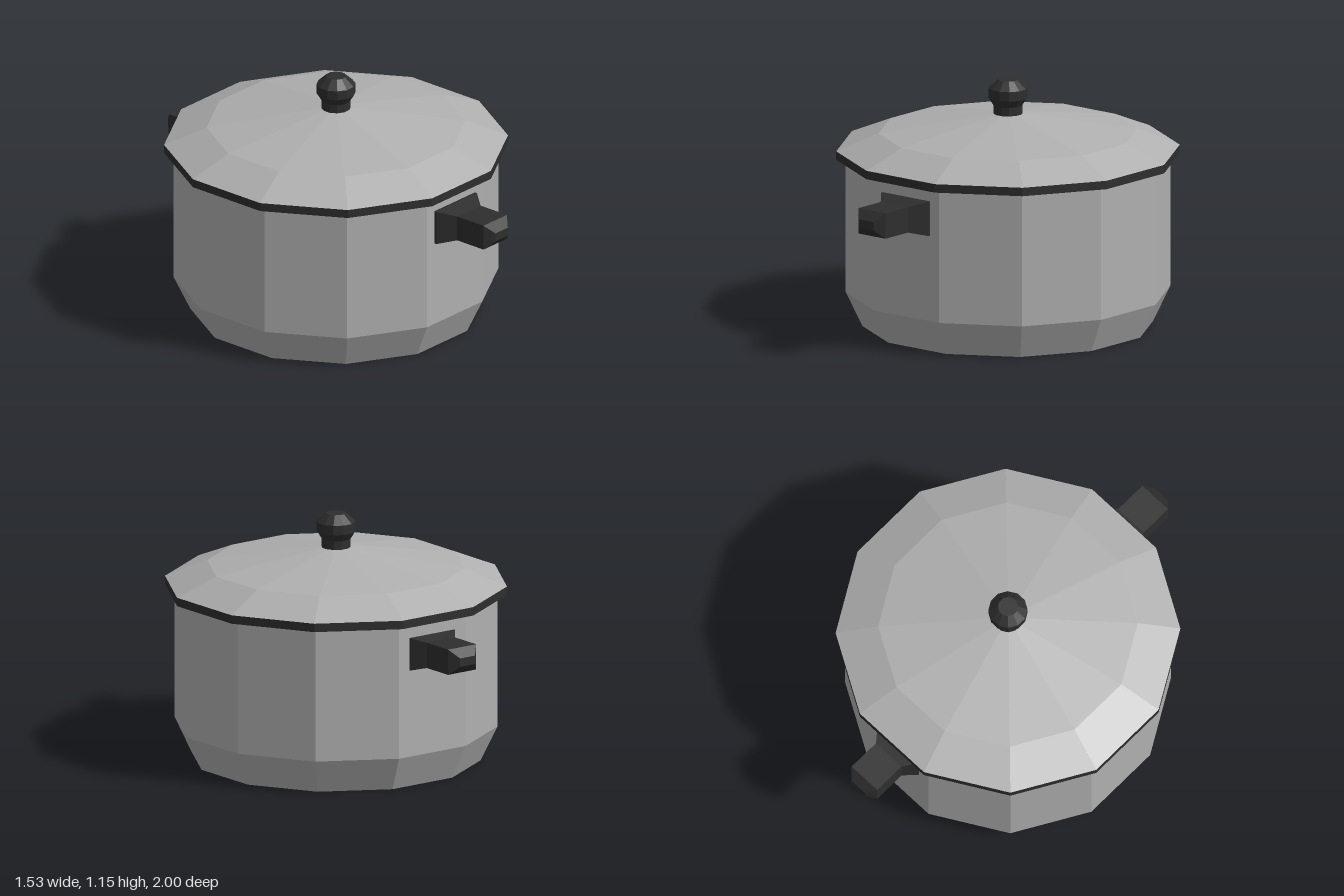
import * as THREE from 'three';

const SIDES = 12;
const CENTER_Z = -0.012;

// Faceted solid of revolution, profile given bottom to top as [radius, y]
function turned(name, profile, material) {
  const points = profile.map(([r, y]) => new THREE.Vector2(r, y));
  const mesh = new THREE.Mesh(new THREE.LatheGeometry(points, SIDES, Math.PI / 12), material);
  mesh.name = name;
  mesh.position.z = CENTER_Z;
  return mesh;
}

// Loft through rectangles [z, halfWidth, halfHeight] along +z, closed at both ends
function loftRectangles(sections) {
  const positions = [];
  const index = [];
  for (const [z, w, h] of sections) {
    positions.push(-w, -h, z, w, -h, z, w, h, z, -w, h, z);
  }
  for (let s = 0; s < sections.length - 1; s++) {
    for (let i = 0; i < 4; i++) {
      const a = s * 4 + i;
      const b = s * 4 + ((i + 1) % 4);
      index.push(a, b, b + 4, a, b + 4, a + 4);
    }
  }
  const e = (sections.length - 1) * 4;
  index.push(0, 2, 1, 0, 3, 2, e, e + 1, e + 2, e, e + 2, e + 3);
  const geometry = new THREE.BufferGeometry();
  geometry.setAttribute('position', new THREE.Float32BufferAttribute(positions, 3));
  geometry.setIndex(index);
  geometry.computeVertexNormals();
  return geometry;
}

export function createModel() {
  const metal = new THREE.MeshStandardMaterial({ color: 0xb0b0b0 });
  metal.name = 'brushed metal';
  const black = new THREE.MeshStandardMaterial({ color: 0x2e2e2e });
  black.name = 'black plastic';
  metal.flatShading = black.flatShading = true;

  const pot = new THREE.Group();
  pot.name = 'cookingPot';

  // Body with a tapered foot
  pot.add(turned('body', [[0, 0], [0.672, 0], [0.75, 0.163], [0.75, 0.8]], metal));

  // Lid: dark rim band, two-step dome and knob
  pot.add(turned('lidRim', [[0.7, 0.79], [0.794, 0.79], [0.794, 0.83]], black));
  pot.add(turned('lid', [[0.794, 0.83], [0.598, 0.911], [0.07, 0.995], [0, 0.995]], metal));
  pot.add(turned('lidKnob', [
    [0.068, 0.98], [0.068, 1.035], [0.09, 1.07], [0.09, 1.115], [0.047, 1.155], [0, 1.155],
  ], black));

  // Front and back handles: flared base, straight grip, chamfered tip
  const handleGeometry = loftRectangles([
    [0.7, 0.142, 0.081],
    [0.725, 0.142, 0.081],
    [0.8, 0.082, 0.06],
    [0.96, 0.082, 0.06],
    [1, 0.043, 0.02],
  ]);
  for (const [name, angle] of [['frontHandle', 0], ['backHandle', Math.PI]]) {
    const handle = new THREE.Mesh(handleGeometry, black);
    handle.name = name;
    handle.position.y = 0.65;
    handle.rotation.y = angle;
    pot.add(handle);
  }

  return pot;
}
